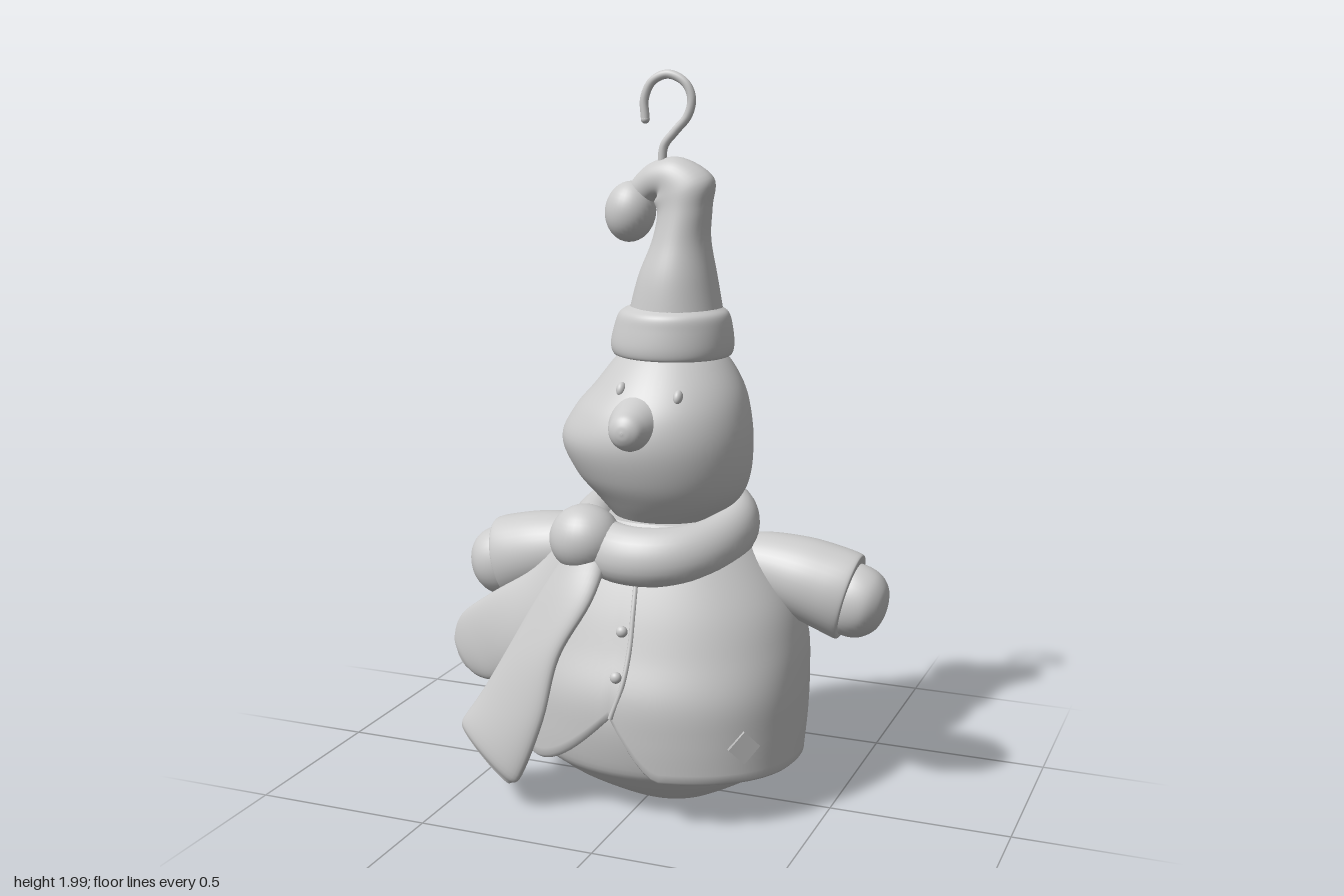
import * as THREE from 'three';

const V = (x, y, z) => new THREE.Vector3(x, y, z);

// Closed tube surface from point(t, angle); smooth sides, flat end caps
function tubeSurface(point, rows, cols, capStart, capEnd) {
  const pos = [], idx = [];
  const addRing = t => {
    const start = pos.length / 3;
    for (let j = 0; j < cols; j++) pos.push(...point(t, j / cols * Math.PI * 2).toArray());
    return start;
  };
  for (let i = 0; i <= rows; i++) addRing(i / rows);
  for (let i = 0; i < rows; i++) for (let j = 0; j < cols; j++) {
    const k = (j + 1) % cols, a = i * cols + j, b = i * cols + k;
    idx.push(a, a + cols, b, b, a + cols, b + cols);
  }
  const cap = (t, top) => {
    const s = addRing(t), mid = V(0, 0, 0);
    for (let j = 0; j < cols; j++) mid.add(V(pos[(s + j) * 3], pos[(s + j) * 3 + 1], pos[(s + j) * 3 + 2]));
    pos.push(...mid.divideScalar(cols).toArray());
    for (let j = 0; j < cols; j++) {
      const a = s + j, b = s + (j + 1) % cols, m = s + cols;
      top ? idx.push(a, m, b) : idx.push(a, b, m);
    }
  };
  if (capStart) cap(0, false);
  if (capEnd) cap(1, true);
  const g = new THREE.BufferGeometry();
  g.setAttribute('position', new THREE.Float32BufferAttribute(pos, 3));
  g.setIndex(idx);
  g.computeVertexNormals();
  return g;
}

// Smooth loft through elliptical sections [centre, half axis u, half axis v]
function loft(sections, cols = 40, steps = 6) {
  const [c, u, v] = [0, 1, 2].map(k =>
    new THREE.CatmullRomCurve3(sections.map(s => V(...s[k])), false, 'catmullrom', 0.5));
  const dir = c.getPoint(0.51).sub(c.getPoint(0.49));
  const flip = u.getPoint(0.5).cross(v.getPoint(0.5)).dot(dir) > 0 ? -1 : 1;
  const point = (t, a) => c.getPoint(t)
    .addScaledVector(u.getPoint(t), Math.cos(a)).addScaledVector(v.getPoint(t), flip * Math.sin(a));
  return tubeSurface(point, (sections.length - 1) * steps, cols, true, true);
}

// Upright loft from rows of [y, centre x, centre z, radius x, radius z]
const stack = rows => loft(rows.map(([y, cx, cz, rx, rz]) => [[cx, y, cz], [rx, 0, 0], [0, 0, rz]]), 56);

// Coat outline by height: radius x, centre z, radius z at even steps from 0.14 to 0.80
const coatCurve = new THREE.CatmullRomCurve3([
  V(0.41, 0.01, 0.31), V(0.415, -0.005, 0.33), V(0.415, -0.015, 0.335), V(0.405, -0.035, 0.315),
  V(0.37, -0.04, 0.28), V(0.29, -0.04, 0.23), V(0.18, -0.03, 0.16)], false, 'catmullrom', 0.5);
const power = (n, e) => Math.sign(n) * Math.abs(n) ** e;
const coatRing = y => coatCurve.getPoint(THREE.MathUtils.clamp((y - 0.14) / 0.66, 0, 1));
function coatPoint(y, a, inset = 0) {
  const r = coatRing(y);
  return V((r.x - inset) * power(Math.cos(a), 0.92), y, r.y + (r.z - inset) * power(Math.sin(a), 0.92));
}
function coatFront(x, y, out = 0) {
  const r = coatRing(y);
  return V(x, y, r.y + out + r.z * (1 - Math.abs(x / r.x) ** 2.17) ** (1 / 2.17));
}
// Hem rises to a curved notch at the front
function hem(a) {
  if (Math.sin(a) < 0) return 0.14;
  const d = 0.41 * Math.cos(a) + 0.02;
  return 0.14 + 0.17 * Math.max(0, 1 - Math.abs(d) / (d > 0 ? 0.12 : 0.25)) ** 1.7;
}

export function createModel() {
  const model = new THREE.Group();
  const grey = new THREE.MeshStandardMaterial({ color: 0xcccccc, side: THREE.DoubleSide });
  const add = (name, geometry) => {
    const m = new THREE.Mesh(geometry, grey);
    m.name = name;
    model.add(m);
    return m;
  };
  const ball = (name, x, y, z, rx, ry, rz) => {
    const m = add(name, new THREE.SphereGeometry(1, 32, 20));
    m.position.set(x, y, z);
    m.scale.set(rx, ry, rz);
    return m;
  };

  // Round underside of the body
  add('body', stack([
    [0.005, 0.07, 0.01, 0.07, 0.07], [0.02, 0.04, 0.01, 0.14, 0.13], [0.06, 0.01, 0, 0.25, 0.2],
    [0.1, 0, -0.005, 0.32, 0.25], [0.15, 0, 0, 0.37, 0.28], [0.3, 0, -0.01, 0.39, 0.312], [0.42, 0, -0.03, 0.37, 0.29]]));

  // Coat with a rolled-in hem
  const rows = 36;
  add('coat', tubeSurface((t, a) => {
    const i = Math.round(t * rows), h = hem(a);
    if (i === 0) return coatPoint(h + 0.04, a, 0.035);
    if (i === 1) return coatPoint(h, a, 0.03);
    if (i === 2) return coatPoint(h - 0.004, a, 0.01);
    return coatPoint(THREE.MathUtils.lerp(h + 0.006, 0.8, (i - 3) / (rows - 3)), a);
  }, rows, 128, false, true));

  // Front seam, buttons and stitched patch
  const seam = new THREE.CatmullRomCurve3([[-0.02, 0.31], [0.008, 0.4], [0.015, 0.5], [0.012, 0.58], [0.005, 0.68]]
    .map(([x, y]) => coatFront(x, y)));
  add('coatSeam', new THREE.TubeGeometry(seam, 32, 0.007, 8));
  for (const y of [0.42, 0.535]) {
    const p = coatFront(-0.012, y, 0.004);
    ball('button', p.x, p.y, p.z, 0.016, 0.016, 0.014);
  }
  const p0 = coatFront(0.32, 0.24), px = coatFront(0.34, 0.24).sub(coatFront(0.3, 0.24));
  const patch = add('patch', new THREE.CylinderGeometry(0.046, 0.046, 0.014, 4).rotateX(Math.PI / 2));
  patch.position.copy(p0);
  patch.rotation.y = Math.atan2(-px.z, px.x);

  // Arms
  for (const s of [1, -1]) {
    const side = s > 0 ? 'left' : 'right';
    const along = list => list.map(([x, y, ux, uy, rz]) => [[s * x, y, -0.083], [s * ux, uy, 0], [0, 0, rz]]);
    add(side + 'Sleeve', loft(along([
      [0.18, 0.66, 0.0, 0.08, 0.085], [0.28, 0.655, 0.01, 0.095, 0.1], [0.38, 0.635, 0.02, 0.11, 0.113],
      [0.46, 0.612, 0.025, 0.118, 0.112], [0.515, 0.594, 0.03, 0.12, 0.104], [0.522, 0.591, 0.027, 0.11, 0.095]])));
    add(side + 'Mitten', loft(along([
      [0.48, 0.6, 0.025, 0.09, 0.08], [0.53, 0.585, 0.025, 0.1, 0.09], [0.575, 0.575, 0.022, 0.09, 0.084],
      [0.605, 0.57, 0.015, 0.065, 0.06], [0.618, 0.568, 0.008, 0.035, 0.032], [0.622, 0.567, 0.001, 0.005, 0.005]])));
  }

  // Scarf: tilted ring, knot and two hanging tails
  const ring = new THREE.TorusGeometry(0.2, 0.065, 24, 64).rotateX(Math.PI / 2);
  ring.applyMatrix4(new THREE.Matrix4().set(1, 0, 0, 0, 0, 1.2, -0.17, 0.757, 0, 0, 1.01, -0.02, 0, 0, 0, 1));
  add('scarfRing', ring);
  ball('scarfKnot', -0.16, 0.752, 0.16, 0.1, 0.095, 0.092);
  add('frontScarfTail', loft([
    [[-0.14, 0.73, 0.18], [0.065, 0.01, 0], [0, 0.01, 0.035]],
    [[-0.19, 0.6, 0.235], [0.092, 0.01, 0.03], [-0.005, 0.01, 0.03]],
    [[-0.275, 0.44, 0.265], [0.098, 0.015, 0.045], [-0.01, 0.005, 0.03]],
    [[-0.33, 0.29, 0.285], [0.115, -0.01, 0.05], [-0.01, 0.005, 0.032]],
    [[-0.39, 0.165, 0.29], [0.108, -0.055, 0.045], [-0.01, 0.005, 0.032]],
    [[-0.415, 0.135, 0.285], [0.09, -0.06, 0.035], [-0.005, 0, 0.016]]]));
  add('sideScarfTail', loft([
    [[-0.18, 0.7, 0.14], [0.05, -0.05, 0.02], [0.01, 0, 0.04]],
    [[-0.285, 0.57, 0.15], [0.055, -0.065, 0.04], [0.01, 0.01, 0.035]],
    [[-0.42, 0.46, 0.13], [0.065, -0.08, 0.045], [0.015, 0.015, 0.035]],
    [[-0.53, 0.375, 0.09], [0.07, -0.078, 0.035], [0.01, 0.01, 0.032]],
    [[-0.58, 0.33, 0.07], [0.05, -0.05, 0.02], [0.005, 0.005, 0.025]],
    [[-0.598, 0.317, 0.062], [0.022, -0.022, 0.01], [0, 0, 0.012]]]));

  // Head and face
  add('head', stack([
    [0.78, 0, -0.03, 0.13, 0.13], [0.85, 0.01, -0.03, 0.2, 0.185], [0.92, -0.005, -0.025, 0.245, 0.22],
    [1.01, -0.02, -0.02, 0.267, 0.238], [1.09, -0.008, -0.025, 0.245, 0.228], [1.16, 0.008, -0.04, 0.205, 0.2],
    [1.23, 0.01, -0.055, 0.155, 0.155], [1.28, 0.01, -0.055, 0.1, 0.1]]));
  add('nose', loft([[0.15, 0.085], [0.19, 0.068], [0.22, 0.055], [0.245, 0.042], [0.258, 0.022], [0.262, 0.003]]
    .map(([z, r]) => [[-0.01, 1.075, z], [r, 0, 0], [0, r, 0]]), 32));
  for (const [x, y] of [[-0.062, 1.168], [0.1, 1.157]]) {
    ball('eye', x, y, 0.137, 0.013, 0.02, 0.016).rotation.x = -0.5;
  }

  // Hat: rolled brim, drooping cone and pompom
  add('hatBrim', stack([
    [1.238, 0.01, -0.055, 0.145, 0.135], [1.242, 0.01, -0.055, 0.164, 0.15], [1.27, 0.01, -0.055, 0.171, 0.155],
    [1.32, 0.014, -0.052, 0.163, 0.147], [1.355, 0.017, -0.05, 0.15, 0.138], [1.372, 0.02, -0.05, 0.125, 0.115]]));
  add('hatCone', loft([
    [0.02, 1.33, 0.135, 0, 0.128], [0.025, 1.45, 0.108, 0, 0.113], [0.035, 1.55, 0.08, 0.005, 0.087],
    [0.045, 1.63, 0.075, 0.012, 0.072], [0.042, 1.685, 0.082, 0.035, 0.065], [0.004, 1.715, 0.033, 0.055, 0.055],
    [-0.04, 1.708, -0.005, 0.05, 0.045], [-0.075, 1.68, -0.028, 0.03, 0.036], [-0.095, 1.65, -0.025, 0.015, 0.03]]
    .map(([x, y, ux, uy, rz]) => [[x, y, -0.055], [ux, uy, 0], [0, 0, rz]])));
  ball('pompom', -0.113, 1.622, -0.055, 0.07, 0.083, 0.068).rotation.z = -0.15;

  // Hanging hook with rounded tip
  const hook = new THREE.CatmullRomCurve3([
    [-0.018, 1.74], [-0.012, 1.8], [0.02, 1.84], [0.055, 1.88], [0.066, 1.925], [0.048, 1.966],
    [0.0, 1.988], [-0.045, 1.97], [-0.068, 1.925], [-0.066, 1.87]].map(([x, y]) => V(x, y, -0.047)));
  add('hook', new THREE.TubeGeometry(hook, 80, 0.012, 12));
  ball('hookTip', -0.066, 1.87, -0.047, 0.012, 0.012, 0.012);

  return model;
}
